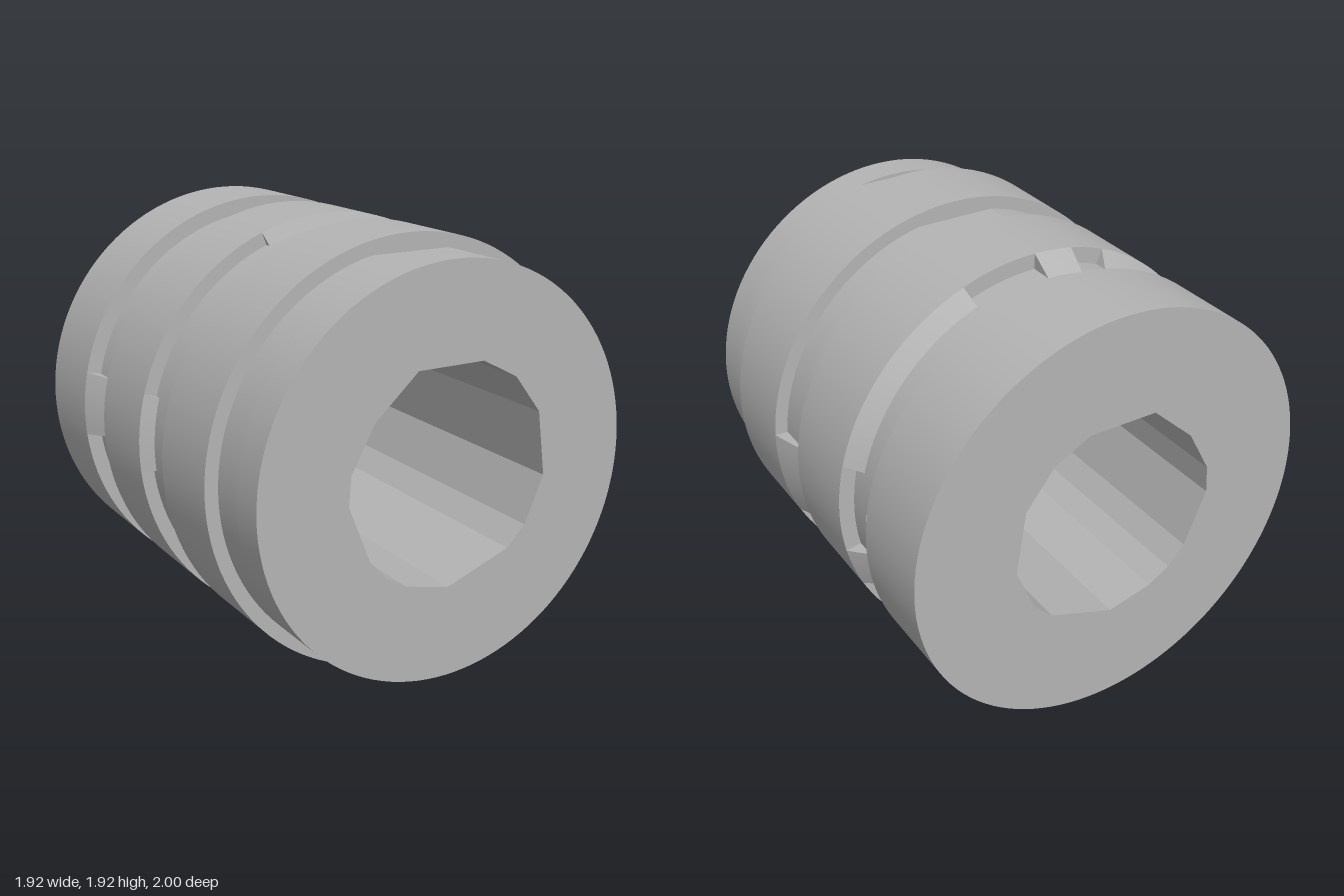
import * as THREE from 'three';
import { toCreasedNormals } from 'three/addons/utils/BufferGeometryUtils.js';

const R = 0.96; // collar radius, also the height of the axis
const rad = THREE.MathUtils.degToRad;

// Irregular bore outline, relative to the axis
const bore = [
  [-0.17, 0.47], [0.15, 0.47], [0.32, 0.38], [0.45, 0.21], [0.49, -0.08], [0.4, -0.29], [0.31, -0.38],
  [0, -0.49], [-0.21, -0.44], [-0.31, -0.38], [-0.39, -0.29], [-0.49, -0.04], [-0.48, 0.09], [-0.37, 0.29],
];

// Hollow disc from z0 to z1; a flat cuts the top when asked for
function disc(z0, z1, r, flat) {
  const outline = [];
  for (let i = 0; i < 120; i++) {
    const a = i * 3;
    if (flat && Math.abs(a - 90) < 10) continue;
    outline.push(new THREE.Vector2(r * Math.cos(rad(a)), r * Math.sin(rad(a))));
  }
  const shape = new THREE.Shape(outline);
  shape.holes.push(new THREE.Path(bore.map(([x, y]) => new THREE.Vector2(x, y))));
  const g = new THREE.ExtrudeGeometry(shape, { depth: z1 - z0, bevelEnabled: false });
  g.translate(0, 0, z0);
  return toCreasedNormals(g, 0.15);
}

// Curved ramp falling from a collar wall to the neck between two angles
function ramp(a0, a1, wall, end, floor) {
  const n = Math.max(2, Math.ceil((a1 - a0) / 3));
  const pos = [];
  const at = (a, z, r) => [r * Math.cos(rad(a)), r * Math.sin(rad(a)), z];
  const tri = (a, b, c) => pos.push(...a, ...(end > wall ? [...b, ...c] : [...c, ...b]));
  for (let i = 0; i < n; i++) {
    const s = a0 + ((a1 - a0) * i) / n, e = a0 + ((a1 - a0) * (i + 1)) / n;
    const A0 = at(s, wall, R), A1 = at(e, wall, R);
    const B0 = at(s, end, floor), B1 = at(e, end, floor);
    tri(A0, A1, B1);
    tri(A0, B1, B0);
    if (i === 0) tri(A0, B0, at(s, wall, floor));
    if (i === n - 1) tri(A1, at(e, wall, floor), B1);
  }
  const g = new THREE.BufferGeometry();
  g.setAttribute('position', new THREE.Float32BufferAttribute(pos, 3));
  return toCreasedNormals(g, 0.15);
}

export function createModel() {
  const model = new THREE.Group();
  model.name = 'groovedSleeve';
  const steel = new THREE.MeshStandardMaterial({ color: 0xb4b4b4 });
  steel.name = 'steel grey';
  const add = (name, geometry) => {
    const mesh = new THREE.Mesh(geometry, steel);
    mesh.name = name;
    mesh.position.y = R;
    model.add(mesh);
  };

  // Collars and the necks between them: name, z range, radius, flat on top
  [
    ['frontNeck', 0.84, 1, 0.9], ['frontNeckFlat', 0.68, 0.84, 0.9, true],
    ['frontCollar', 0.28, 0.68, R],
    ['middleNeckFlat', 0.16, 0.28, 0.9, true], ['middleNeck', 0.04, 0.16, 0.9],
    ['middleCollar', -0.36, 0.04, R],
    ['rearNeck', -0.6, -0.36, 0.89],
    ['rearCollar', -1, -0.6, R],
  ].forEach(([name, ...args]) => add(name, disc(...args)));

  // Ramps: name, angle range, wall z, end z, floor radius
  [
    ['frontRamp', -25, -19, 0.68, 0.87, 0.895],
    ['frontRamp', 246, 258, 0.68, 0.87, 0.895],
    ['middleRamp', -25, 2.5, 0.28, 0.07, 0.895],
    ['middleRamp', 250, 275, 0.28, 0.09, 0.895],
    ['middleLip', 69, 111, 0.04, 0.07, 0.895],
    ['middleLip', -25, 2.5, 0.04, 0.07, 0.895],
    ['middleLip', 165, 186, 0.04, 0.07, 0.895],
    ['middleLip', 250, 290, 0.04, 0.07, 0.895],
    ['rearLip', 14, 69, -0.36, -0.43, 0.885],
    ['rearLip', 111, 168, -0.36, -0.43, 0.885],
    ['rearLip', 186, 245, -0.36, -0.43, 0.885],
    ['rearTooth', 90, 101, -0.36, -0.47, 0.885],
    ['rearTooth', 168, 186, -0.36, -0.47, 0.885],
    ['rearTooth', -25, -12, -0.36, -0.46, 0.885],
    ['rearTooth', 262, 280, -0.36, -0.46, 0.885],
    ['rearCollarTooth', 168, 186, -0.6, -0.47, 0.885],
    ['rearCollarTooth', -5, 2.5, -0.6, -0.46, 0.885],
    ['rearCollarTooth', -31, -25, -0.6, -0.46, 0.885],
    ['rearCollarTooth', 250, 262, -0.6, -0.46, 0.885],
  ].forEach(([name, ...args]) => add(name, ramp(...args)));

  return model;
}
